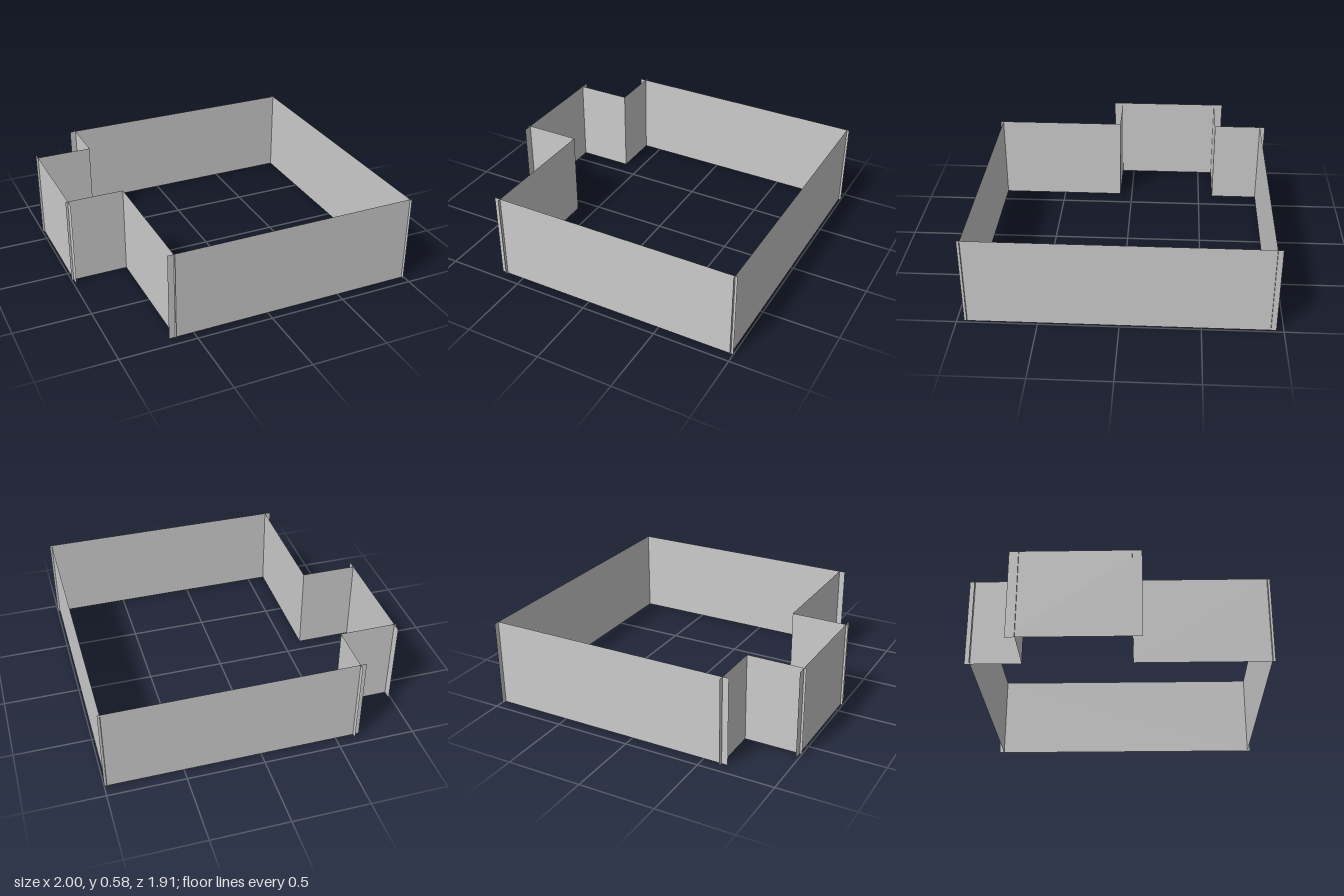
import * as THREE from 'three';

const HEIGHT = 0.58;

export function createModel() {
  const group = new THREE.Group();
  const material = new THREE.MeshStandardMaterial({ color: 0xcccccc, side: THREE.DoubleSide });

  // A thin upright panel running from (x0, z0) to (x1, z1)
  function wall(name, x0, z0, x1, z1) {
    const dx = x1 - x0, dz = z1 - z0;
    const mesh = new THREE.Mesh(new THREE.PlaneGeometry(Math.hypot(dx, dz), HEIGHT), material);
    mesh.position.set((x0 + x1) / 2, HEIGHT / 2, (z0 + z1) / 2);
    mesh.rotation.y = Math.atan2(-dz, dx);
    mesh.name = name;
    group.add(mesh);
  }

  // Main room: the panels overshoot slightly where they cross at the corners
  wall('frontWall', -0.66, 0.935, 1, 0.935);
  wall('leftWall', 0.985, 0.955, 0.985, -0.955);
  wall('backWall', 1, -0.92, -0.66, -0.92);
  wall('rightWallBack', -0.62, -0.955, -0.62, -0.6);
  wall('rightWallFront', -0.62, 0.085, -0.62, 0.955);

  // Bay projecting from the right side
  wall('bayBackWall', -0.62, -0.6, -1, -0.6);
  wall('bayOuterWall', -0.985, -0.66, -0.985, 0.145);
  wall('bayFrontWall', -1, 0.085, -0.62, 0.085);

  return group;
}
